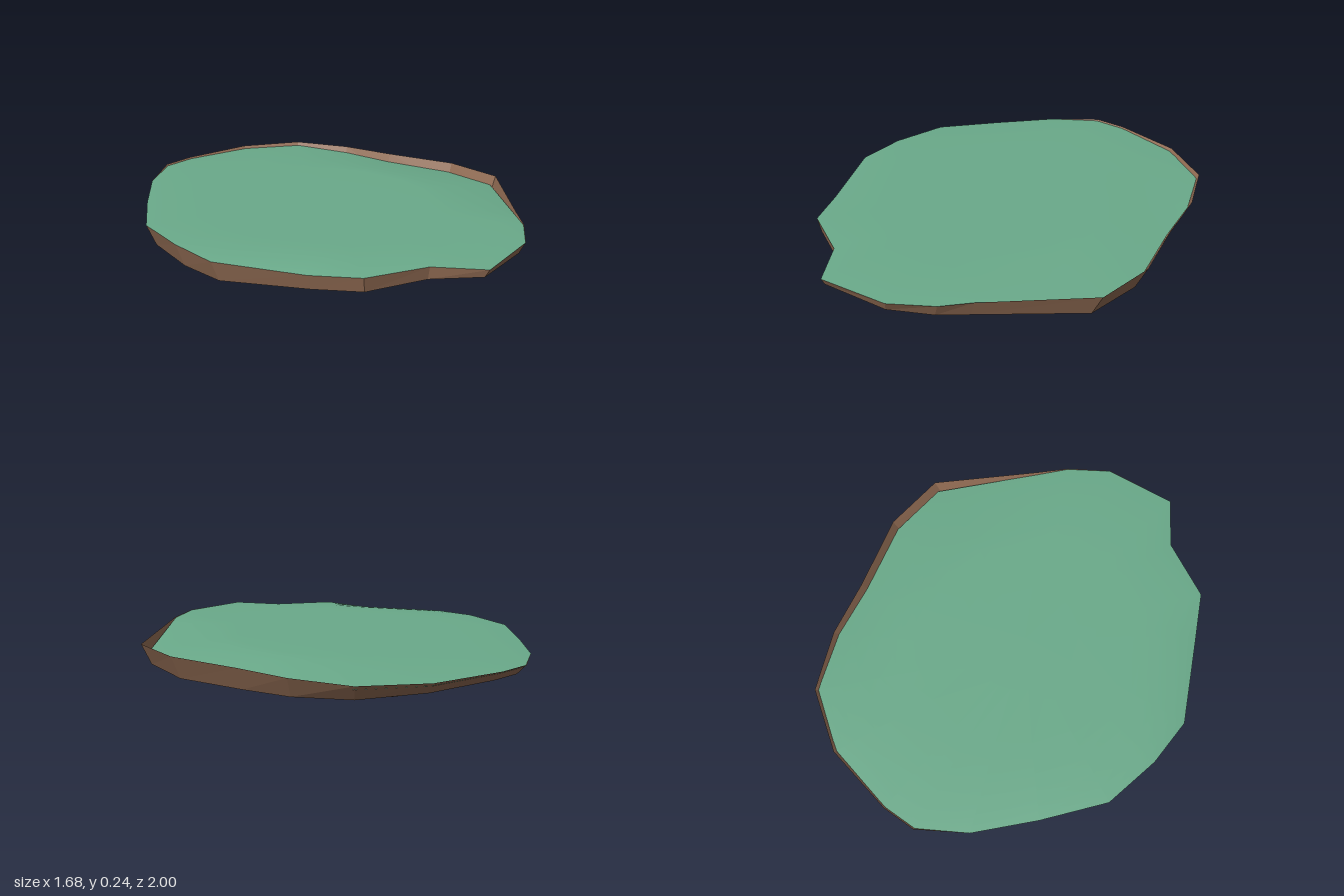
import * as THREE from 'three';

// Rim outline [x, z, rock height, grass height], starting at the back and running round by +x
const RIM = [
  [-0.2, -0.99, 0.243, 0.236], [-0.04, -1, 0.243, 0.236], [0.3, -0.95, 0.243, 0.23],
  [0.56, -0.79, 0.243, 0.226], [0.68, -0.53, 0.243, 0.214], [0.74, -0.27, 0.243, 0.205],
  [0.84, 0.07, 0.243, 0.2], [0.82, 0.36, 0.243, 0.2], [0.46, 0.72, 0.243, 0.232],
  [0.36, 0.83, 0.237, 0.234], [0.19, 0.95, 0.236, 0.235], [-0.14, 1, 0.232, 0.232],
  [-0.28, 0.81, 0.232, 0.232], [-0.54, 0.69, 0.23, 0.23], [-0.65, 0.49, 0.216, 0.216],
  [-0.84, 0.13, 0.226, 0.226], [-0.84, -0.1, 0.236, 0.236], [-0.79, -0.37, 0.235, 0.235],
  [-0.6, -0.62, 0.232, 0.232], [-0.4, -0.85, 0.234, 0.234],
];
const { lerp } = THREE.MathUtils;

function seeded(seed) {
  return () => {
    seed = (seed * 16807) % 2147483647;
    return seed / 2147483647 - 0.5;
  };
}

// Skins a list of closed rings of points
function loft(rings) {
  const n = RIM.length;
  const index = [];
  for (let i = 0; i < rings.length - 1; i++) {
    for (let j = 0; j < n; j++) {
      const k = (j + 1) % n;
      const a = i * n + j, b = i * n + k, c = a + n, d = b + n;
      index.push(a, b, d, a, d, c);
    }
  }
  const geo = new THREE.BufferGeometry();
  geo.setAttribute('position', new THREE.Float32BufferAttribute(rings.flat(2), 3));
  geo.setIndex(index);
  geo.computeVertexNormals();
  return geo;
}

export function createModel() {
  const model = new THREE.Group();
  model.name = 'floatingIsland';
  const add = (name, geo, material) => {
    const mesh = new THREE.Mesh(geo, new THREE.MeshStandardMaterial(material));
    mesh.name = name;
    model.add(mesh);
  };

  // Grass edge: where it lies below the rock rim it follows the tapering wall inwards
  const edge = RIM.map(([x, z, rockY, y]) => {
    const k = 1 - (rockY - y) * 0.75;
    return [x * k, y, z * k];
  });

  // Grass mound: an oval plateau, a narrow bevel round the edge and a long slope on the +x side
  const topY = 0.242;
  const grassRings = [0, 0.5, 1].map((s) => RIM.map(([x, z]) => {
    const a = Math.atan2(z, x);
    return [-0.03 + 0.48 * s * Math.cos(a), topY, 0.52 * s * Math.sin(a)];
  }));
  const plateau = grassRings[2];
  for (const t of [0.2, 0.4, 0.6, 0.8, 0.92, 1]) {
    grassRings.push(edge.map(([x, y, z], j) => [
      lerp(plateau[j][0], x, t),
      lerp(topY, y, t ** (x > 0.5 ? 1.4 : 3)),
      lerp(plateau[j][2], z, t),
    ]));
  }
  add('grassTop', loft(grassRings), { color: 0x6aaa8a });

  // Terraced rock underside: [xMin, xMax, zBack, zFront, height, lift towards the z ends, roughness]
  const terraces = [
    [-0.81, 0.79, -0.95, 0.98, 0.135, 0.06, 0],
    [-0.69, 0.68, -0.85, 0.84, 0.122, 0.068, 0.012],
    [-0.56, 0.5, -0.67, 0.66, 0.118, 0, 0.018],
    [-0.49, 0.41, -0.58, 0.46, 0.075, 0, 0.014],
    [-0.37, 0.29, -0.4, 0.31, 0.072, 0, 0.014],
    [-0.3, 0.22, -0.3, 0.22, 0.032, 0, 0.012],
    [-0.25, 0.17, -0.25, 0.17, 0.026, 0, 0.008],
    [-0.17, 0.11, -0.19, 0.12, 0.004, 0, 0.004],
    [-0.03, -0.03, -0.04, -0.04, 0, 0, 0],
  ];
  const rand = seeded(71);
  const rockRings = [RIM.map(([x, z, y]) => [x, y, z])];
  for (const [x0, x1, z0, z1, y, lift, rough] of terraces) {
    const rx = (x1 - x0) / 2, rz = (z1 - z0) / 2;
    const roundness = 1 - rz;
    rockRings.push(RIM.map(([x, z]) => {
      const a = Math.atan2(z, x / 0.84);
      const k = 1 + rand() * rough * 4;
      return [
        (x0 + x1) / 2 + rx * k * lerp(x / 0.84, Math.cos(a), roundness),
        Math.max(0, y + lift * z * z + rand() * rough),
        (z0 + z1) / 2 + rz * k * lerp(z, Math.sin(a), roundness),
      ];
    }));
  }
  add('rockUnderside', loft(rockRings), { color: 0x8f6a52, flatShading: true, side: THREE.DoubleSide });

  return model;
}
